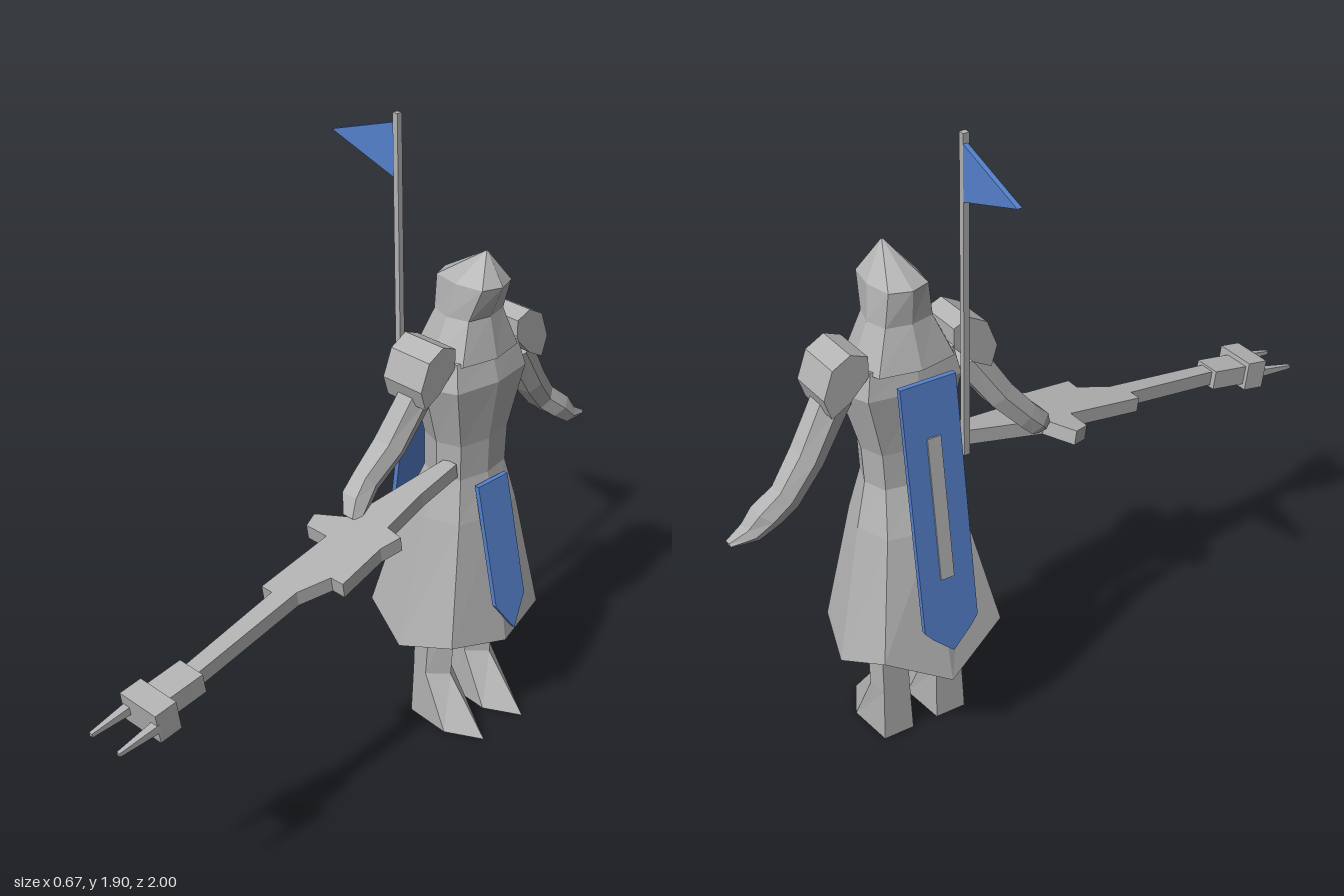
import * as THREE from 'three';

const grey = new THREE.MeshStandardMaterial({ color: 0xb2b2b2, flatShading: true });
grey.name = 'plate grey';
const blue = new THREE.MeshStandardMaterial({ color: 0x5580cc, flatShading: true });
blue.name = 'banner blue';

const MID = -0.46; // z of the figure's centre plane; the figure faces +x

function mesh(name, geometry, material) {
  const m = new THREE.Mesh(geometry, material);
  m.name = name;
  return m;
}

// Skin between rings of [x, y, z] points (bottom to top, turning from +x to +z), capped
function loft(rings) {
  const p = [];
  const n = rings[0].length;
  const cap = (ring, up) => {
    const c = [0, 1, 2].map(k => ring.reduce((s, v) => s + v[k], 0) / n);
    ring.forEach((v, i) => {
      const w = ring[(i + 1) % n];
      p.push(...c, ...(up ? w : v), ...(up ? v : w));
    });
  };
  for (let r = 0; r < rings.length - 1; r++) {
    for (let i = 0; i < n; i++) {
      const j = (i + 1) % n, a = rings[r], b = rings[r + 1];
      p.push(...a[i], ...b[i], ...a[j], ...b[i], ...b[j], ...a[j]);
    }
  }
  cap(rings[0], false);
  cap(rings[rings.length - 1], true);
  const g = new THREE.BufferGeometry();
  g.setAttribute('position', new THREE.Float32BufferAttribute(p, 3));
  g.computeVertexNormals();
  return g;
}

// Eight-sided ring between back and front x; sag moves the y of [front, diagonal, side, rear diagonal, back]
function octagon(y, back, front, half, sag = [0, 0, 0, 0, 0]) {
  const c = (back + front) / 2, r = (front - back) / 2, ring = [];
  for (let i = 0; i < 8; i++) {
    const a = i * Math.PI / 4, k = i % 2 ? 1.12 : 1;
    ring.push([c + r * k * Math.cos(a), y + sag[i < 5 ? i : 8 - i], MID + half * k * Math.sin(a)]);
  }
  return ring;
}

function extrude(points, depth) {
  const shape = new THREE.Shape(points.map(q => new THREE.Vector2(...q)));
  return new THREE.ExtrudeGeometry(shape, { depth, bevelEnabled: false }).translate(0, 0, -depth / 2);
}

function box(name, w, h, d, x, y, z, material = grey) {
  const m = mesh(name, new THREE.BoxGeometry(w, h, d), material);
  m.position.set(x, y, z);
  return m;
}

// Five-sided leg with a pointed foot
function leg(z) {
  const ring = ([y, heel, mid, toe, h]) => [
    [toe, y, z], [mid, y, z + h], [heel, y, z + h * 0.8], [heel, y, z - h * 0.8], [mid, y, z - h]];
  return loft([
    [0, 0.05, 0.2, 0.31, 0.06], [0.17, 0.05, 0.11, 0.165, 0.053], [0.42, 0.05, 0.12, 0.18, 0.05],
  ].map(ring));
}

// Six-sided arm from fingertips up to shoulder; side is +1 or -1 in z
function arm(side, stations) {
  return loft(stations.map(([x, w, oz, oy, iz, iy]) => {
    const at = (dx, t) => [x + dx * w, oy + (iy - oy) * t, MID + side * (oz + (iz - oz) * t)];
    const ring = [at(1, 0.5), at(0.6, 0), at(-0.6, 0), at(-1, 0.5), at(-0.6, 1), at(0.6, 1)];
    return side > 0 ? ring : ring.reverse();
  }));
}

// Cloth panel on the front or back: points are [z offset, y], sheared so x follows the slope
function panel(name, points, xTop, yTop, xLow, yLow, thick, material) {
  const g = extrude(points, thick).rotateY(Math.PI / 2);
  const pos = g.attributes.position;
  for (let i = 0; i < pos.count; i++) {
    const t = (yTop - pos.getY(i)) / (yTop - yLow);
    pos.setX(i, pos.getX(i) + xTop + (xLow - xTop) * t);
  }
  g.translate(0, 0, MID);
  g.computeVertexNormals();
  return mesh(name, g, material);
}

function createLance() {
  const lance = new THREE.Group();
  lance.name = 'lance';
  // Flat notched body
  const body = extrude([
    [0.13, -0.36], [0.175, -0.36], [0.19, -0.2], [0.22, -0.03], [0.28, -0.02], [0.27, 0.05], [0.295, 0.22],
    [0.25, 0.22], [0.22, 0.32], [0.25, 0.72], [0.2, 0.72], [0.165, 0.36], [0.125, 0.36], [0.11, 0.1],
    [0.03, 0.1], [0.01, 0.05], [0.1, 0],
  ], 0.045).rotateX(Math.PI / 2);
  lance.add(mesh('lanceBody', body, grey));
  lance.add(box('lanceCollar', 0.09, 0.06, 0.12, 0.225, 0, 0.76));
  lance.add(box('lanceHead', 0.14, 0.09, 0.07, 0.237, 0, 0.855));
  // Two prongs at the tip
  for (const x of [0.185, 0.295]) {
    const prong = new THREE.CylinderGeometry(0.008, 0.018, 0.13, 4).rotateY(Math.PI / 4).rotateX(Math.PI / 2);
    lance.add(mesh('lanceProng', prong.translate(x, 0, 0.945), grey));
  }
  lance.rotation.x = 0.164;
  lance.position.y = 0.835;
  return lance;
}

export function createModel() {
  const model = new THREE.Group();
  model.name = 'knight';

  // Skirt with a zigzag hem
  model.add(mesh('skirt', loft([
    octagon(0.32, -0.12, 0.3, 0.24, [0, 0.035, -0.01, 0.06, -0.05]),
    octagon(0.73, -0.035, 0.235, 0.155),
    octagon(0.86, 0.02, 0.2, 0.12),
  ]), grey));

  // Torso
  model.add(mesh('torso', loft([
    octagon(0.85, 0.02, 0.2, 0.12),
    octagon(0.97, 0.02, 0.2, 0.125),
    octagon(1.16, -0.005, 0.225, 0.18),
    octagon(1.24, 0.01, 0.2, 0.16),
  ]), grey));

  // Hood and collar
  model.add(mesh('hood', loft([
    octagon(1.23, -0.02, 0.215, 0.145),
    octagon(1.35, 0.02, 0.185, 0.09),
    octagon(1.45, 0.01, 0.225, 0.076),
    octagon(1.54, 0.157, 0.163, 0.003),
  ]), grey));

  for (const side of [1, -1]) {
    model.add(mesh('leg', leg(MID + side * 0.088), grey));
    // Angular shoulder plates
    const pad = extrude([
      [-0.13, 1.23], [-0.13, 1.29], [-0.18, 1.31], [-0.235, 1.28], [-0.265, 1.2], [-0.245, 1.14], [-0.19, 1.17],
    ].map(([z, y]) => [z * side, y]), 0.145).rotateY(Math.PI / 2).translate(0.103, 0, MID);
    mesh('shoulderPlate', pad, grey);
    model.add(mesh('shoulderPlate', pad, grey));
  }

  // Arms: [x, half width, outer z, outer y, inner z, inner y]
  const upper = [
    [0.075, 0.04, 0.4, 0.955, 0.35, 0.9],
    [0.09, 0.048, 0.33, 1.04, 0.265, 0.99],
    [0.105, 0.045, 0.25, 1.17, 0.16, 1.14],
  ];
  model.add(mesh('rightArm', arm(1, [
    [0.1, 0.03, 0.47, 0.86, 0.43, 0.835], [0.08, 0.045, 0.445, 0.91, 0.39, 0.86], ...upper]), grey));
  model.add(mesh('leftArm', arm(-1, [
    [0.1, 0.015, 0.54, 0.83, 0.535, 0.815], [0.095, 0.035, 0.49, 0.86, 0.46, 0.82],
    [0.085, 0.045, 0.46, 0.905, 0.4, 0.86], ...upper]), grey));

  model.add(createLance());

  // Cloth panels
  model.add(panel('frontCloth', [
    [-0.062, 0.84], [-0.062, 0.47], [0, 0.38], [0.062, 0.47], [0.062, 0.84],
  ], 0.215, 0.84, 0.325, 0.38, 0.015, blue));
  model.add(panel('backCloth', [
    [-0.085, 1.21], [-0.085, 0.47], [-0.06, 0.44], [0, 0.385], [0.06, 0.44], [0.085, 0.47], [0.085, 1.21],
  ], -0.04, 1.21, -0.125, 0.385, 0.016, blue));
  model.add(panel('backClothStripe', [
    [-0.021, 1.05], [-0.021, 0.62], [0.021, 0.62], [0.021, 1.05],
  ], -0.066, 1.05, -0.11, 0.62, 0.006, grey));

  // Pole and pennant
  const pole = box('flagPole', 0.018, 0.95, 0.018, -0.066, 1.425, -0.352);
  pole.rotation.z = 0.042;
  model.add(pole);
  const flag = extrude([[-0.083, 1.875], [-0.333, 1.79], [-0.078, 1.71]], 0.014).translate(0, 0, -0.354);
  model.add(mesh('pennant', flag, blue));

  return model;
}
